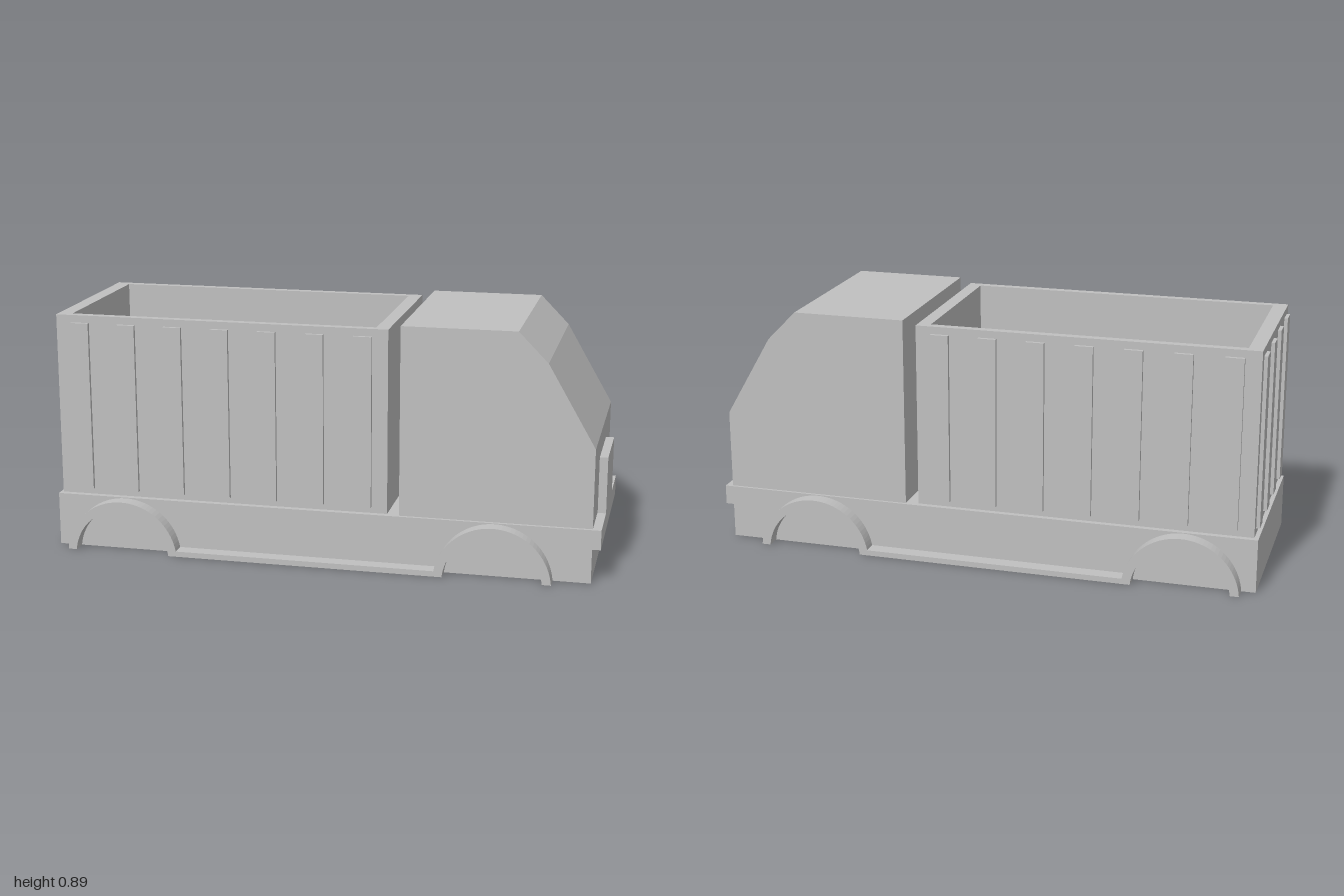
import * as THREE from 'three';

export function createModel() {
  const truck = new THREE.Group();
  truck.name = 'truck';
  const grey = new THREE.MeshStandardMaterial({ color: 0xc0c0c0 });
  grey.name = 'plain grey';

  const add = (name, geometry) => {
    const mesh = new THREE.Mesh(geometry, grey);
    mesh.name = name;
    truck.add(mesh);
    return mesh;
  };
  // Box given by its limits on each axis
  const block = (name, x0, x1, y0, y1, z0, z1) => {
    const mesh = add(name, new THREE.BoxGeometry(x1 - x0, y1 - y0, z1 - z0));
    mesh.position.set((x0 + x1) / 2, (y0 + y1) / 2, (z0 + z1) / 2);
  };
  // Side profile extruded across z
  const extrude = (name, shape, z0, z1) => {
    const geometry = new THREE.ExtrudeGeometry(shape, {
      depth: z1 - z0, bevelEnabled: false, curveSegments: 20,
    });
    add(name, geometry.translate(0, 0, z0));
  };

  const W = 0.342; // half width of cab and chassis
  const F = 0.395; // half width over the fenders

  // Chassis and front bumper with its raised centre plate
  block('chassis', -1, 0.97, 0, 0.196, -W, W);
  block('bumper', 0.97, 1, 0.125, 0.196, -W, W);
  block('grillePlate', 0.969, 1, 0.196, 0.403, -0.14, 0.14);

  // Cab with sloping windscreen
  const cab = new THREE.Shape([
    [0.285, 0.2], [0.97, 0.2], [0.97, 0.487], [0.8, 0.78], [0.695, 0.887], [0.285, 0.887],
  ].map(([x, y]) => new THREE.Vector2(x, y)));
  extrude('cab', cab, -W, W);

  // Open cargo box: floor plus a rectangular ring of walls
  const B = 0.332, x0 = -0.985, x1 = 0.24;
  const rectangle = (Type, a, b, h) => new Type([
    new THREE.Vector2(a, -h), new THREE.Vector2(b, -h),
    new THREE.Vector2(b, h), new THREE.Vector2(a, h),
  ]);
  const walls = rectangle(THREE.Shape, x0, x1, B);
  walls.holes.push(rectangle(THREE.Path, -0.933, 0.192, 0.302));
  const wallGeometry = new THREE.ExtrudeGeometry(walls, { depth: 0.67, bevelEnabled: false });
  add('cargoWalls', wallGeometry.rotateX(-Math.PI / 2).translate(0, 0.2, 0));
  block('cargoFloor', -0.934, 0.193, 0.2, 0.235, -0.303, 0.303);

  // Upright ribs on the sides and the tail
  const pitch = 0.174, half = 0.033;
  for (const side of [-1, 1]) {
    for (let i = 0; i < 7; i++) {
      const x = -0.894 + i * pitch;
      const z = side * (B + 0.006);
      block('sideRib', x - half, x + half, 0.222, 0.843, z - 0.007, z + 0.007);
    }
  }
  for (let i = 0; i < 4; i++) {
    const z = (i - 1.5) * pitch;
    block('tailRib', x0 - 0.013, x0 + 0.001, 0.222, 0.843, z - half, z + half);
  }

  // Wheel arches and the sill joining them, on both sides
  const R = 0.21, r = 0.178, drop = 0.017;
  for (const side of [-1, 1]) {
    const zA = side > 0 ? W : -F, zB = side > 0 ? F : -W;
    for (const x of [-0.74, 0.627]) {
      const a = Math.asin(drop / R), b = Math.asin(drop / r);
      const arch = new THREE.Shape();
      arch.absarc(x, -drop, R, a, Math.PI - a, false);
      arch.absarc(x, -drop, r, Math.PI - b, b, true);
      extrude('wheelArch', arch, zA, zB);
    }
    block('sill', -0.536, 0.423, 0, 0.02, zA, zB);
  }
  return truck;
}
